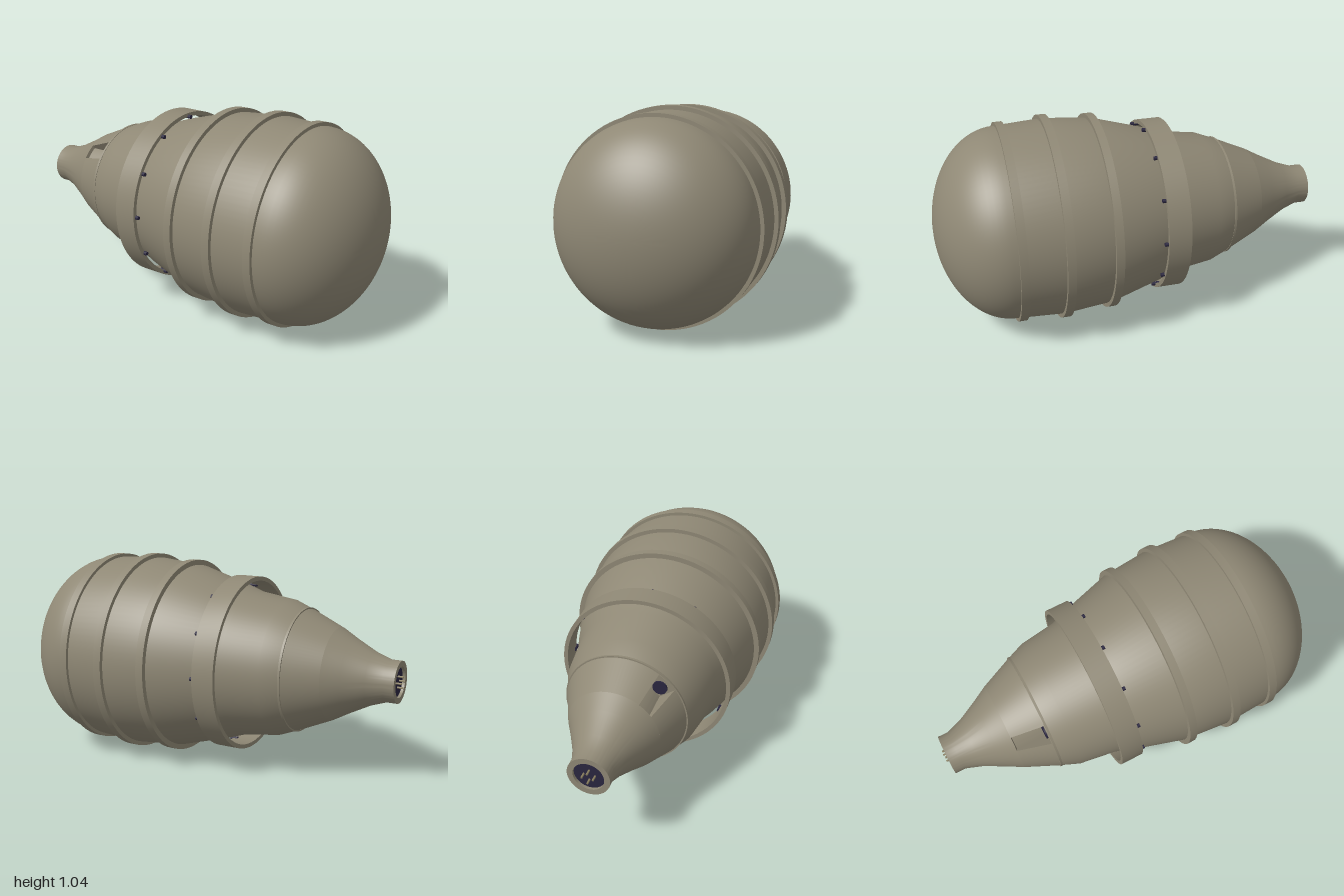
import * as THREE from 'three';
import { toCreasedNormals } from 'three/addons/utils/BufferGeometryUtils.js';

const SEG = 96;
const CY = 0.522;              // height of the long axis
const SLOT0 = Math.PI + 0.585; // angular limits of the slot
const SLOT1 = Math.PI + 0.935;

export function createModel() {
  const model = new THREE.Group();
  const axis = new THREE.Group();
  axis.name = 'bodyAxis';
  axis.position.y = CY;
  model.add(axis);

  const shell = new THREE.MeshStandardMaterial({ color: 0x8f8875, side: THREE.DoubleSide });
  shell.name = 'khaki shell';
  const dark = new THREE.MeshStandardMaterial({ color: 0x2a2640 });
  dark.name = 'dark connector';
  const brass = new THREE.MeshStandardMaterial({ color: 0x8a7f60 });
  brass.name = 'contact metal';

  const add = (name, geometry, material, parent = axis) => {
    const mesh = new THREE.Mesh(geometry, material);
    mesh.name = name;
    parent.add(mesh);
    return mesh;
  };

  // Surface turned around the z axis from [radius, z] pairs, rear to front
  const turned = (name, pairs, start = 0, length = Math.PI * 2) => {
    const pts = pairs.map(([r, z]) => new THREE.Vector2(r, z));
    const segs = Math.max(8, Math.round(SEG * length / (Math.PI * 2)));
    const g = new THREE.LatheGeometry(pts, segs, start, length).rotateX(Math.PI / 2);
    return add(name, toCreasedNormals(g, 0.5), shell);
  };
  const band = (name, z0, z1, inner, outer) =>
    turned(name, [[inner, z0], [outer, z0], [outer, z1], [inner, z1], [inner, z0]]);

  // Main body with an elliptical nose
  const body = [[0.303, -0.5], [0.343, -0.4], [0.37, -0.21], [0.408, -0.1], [0.48, 0.15],
    [0.503, 0.4], [0.49, 0.64]];
  for (let i = 1; i <= 20; i++) {
    const a = i / 20 * Math.PI / 2;
    body.push([Math.max(0, 0.49 * Math.cos(a)), 0.64 + 0.36 * Math.sin(a)]);
  }
  turned('mainBody', body);

  // Tail cone, interrupted by the slot, and hollow neck
  turned('tailCone', [[0.23, -0.665], [0.303, -0.5]], SLOT1, Math.PI * 2 - (SLOT1 - SLOT0));
  turned('neck', [[0, -0.962], [0.075, -0.962], [0.075, -0.985], [0.103, -0.985], [0.103, -0.93],
    [0.131, -0.85], [0.185, -0.745], [0.23, -0.665]]);

  // Raised bands
  band('frontBand', 0.6, 0.641, 0.48, 0.508);
  band('middleBand', 0.38, 0.422, 0.49, 0.522);
  band('rearBand', 0.142, 0.182, 0.47, 0.504);
  band('tailBand', -0.497, -0.486, 0.295, 0.311);

  // Open collar held by twelve small pins
  band('collar', -0.213, -0.097, 0.422, 0.443);
  for (let i = 0; i < 12; i++) {
    const a = i / 12 * Math.PI * 2;
    const pin = add('collarPin', new THREE.CylinderGeometry(0.01, 0.01, 0.04, 10).rotateX(Math.PI / 2), dark);
    pin.position.set(0.424 * Math.cos(a), 0.424 * Math.sin(a), -0.1);
  }

  // Slot pocket: floor, end walls and side walls
  const span = SLOT1 - SLOT0, floorR = 0.212;
  turned('slotFloor', [[0.23, -0.665], [floorR, -0.66], [floorR, -0.5], [0.303, -0.5]], SLOT0, span);
  for (const a of [SLOT0, SLOT1]) {
    const wall = new THREE.Shape([[floorR, -0.66], [0.23, -0.665], [0.303, -0.5], [floorR, -0.5]]
      .map(([r, z]) => new THREE.Vector2(r, z)));
    const g = new THREE.ShapeGeometry(wall).rotateY(a - Math.PI / 2).rotateX(Math.PI / 2);
    add('slotSide', g, shell);
  }
  const mid = (SLOT0 + SLOT1) / 2;
  const socket = add('slotSocket', new THREE.CylinderGeometry(0.036, 0.036, 0.008, 24).rotateX(Math.PI / 2), dark);
  socket.position.set(0.253 * Math.sin(mid), -0.253 * Math.cos(mid), -0.505);

  // Tail connector with contacts
  const plug = add('tailConnector', new THREE.CylinderGeometry(0.075, 0.075, 0.008, 32).rotateX(Math.PI / 2), dark);
  plug.position.z = -0.967;
  for (let i = 0; i < 4; i++) {
    const a = i * Math.PI / 2;
    const pin = add('contactPin', new THREE.CylinderGeometry(0.005, 0.005, 0.035, 10).rotateX(Math.PI / 2), brass);
    pin.position.set(0.027 * Math.cos(a), 0.027 * Math.sin(a), -0.9825);
  }

  return model;
}
